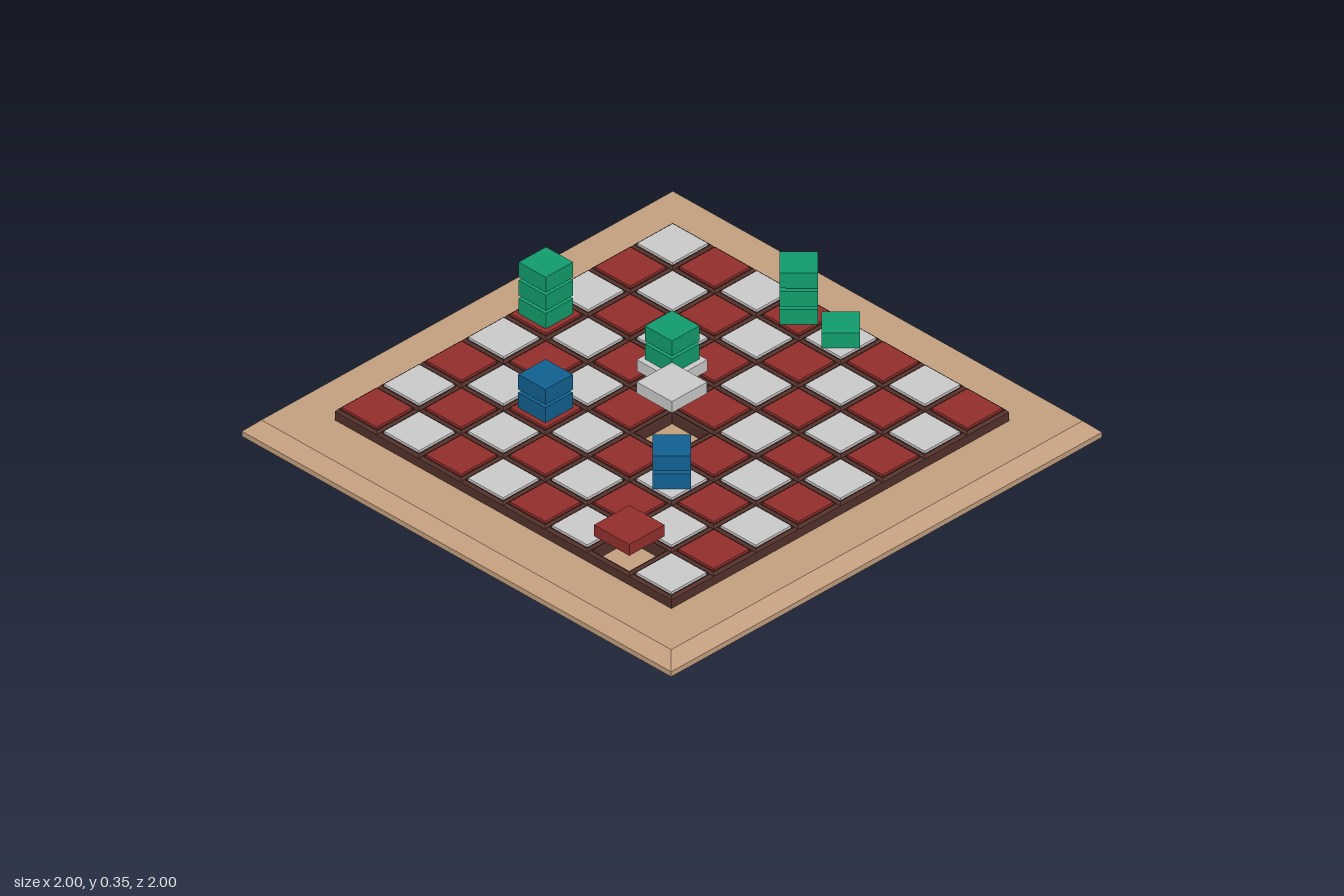
import * as THREE from 'three';

const CELL = 0.196, FLOOR = 0.065, TILE = 0.164, TILE_H = 0.045, PIECE = 0.127, PIECE_H = 0.06, PITCH = 0.072;

const paint = (color) => new THREE.MeshStandardMaterial({ color, flatShading: true });

// Sweeps a [half width, height] profile around a square
function squareSweep(profile) {
  const points = profile.map(([r, y]) => new THREE.Vector2(r * Math.SQRT2, y));
  return new THREE.LatheGeometry(points, 4).rotateY(Math.PI / 4);
}

export function createModel() {
  const model = new THREE.Group();
  const wood = paint(0xc5a180), dark = paint(0x54322b), red = paint(0x932f2c);
  const grey = paint(0xcccccc), green = paint(0x129d6d), blue = paint(0x116191);

  function add(name, geometry, material, x, y, z, turn = 0, parent = model) {
    const mesh = new THREE.Mesh(geometry, material);
    mesh.name = name;
    mesh.position.set(x, y, z);
    mesh.rotation.y = turn;
    parent.add(mesh);
    return mesh;
  }
  const at = (i) => (i - 3.5) * CELL;

  // Wooden base with a bevelled upper edge
  add('base', squareSweep([[0, 0], [1, 0], [1, 0.02], [0.955, FLOOR], [0, FLOOR]]), wood, 0, 0, 0);

  // Eight by eight cells: open bevelled rim with a loose tile inside
  const rim = squareSweep([
    [0.098, FLOOR], [0.098, 0.099], [0.09, 0.109], [0.086, 0.109], [0.084, 0.105], [0.084, FLOOR],
  ]);
  const tile = new THREE.BoxGeometry(TILE, TILE_H, TILE);
  const lifted = { '3,3': 0.19, '4,4': 0.288, '7,6': 0.188 }; // row,column: centre height
  const board = new THREE.Group();
  board.name = 'board';
  model.add(board);
  for (let row = 0; row < 8; row++) {
    for (let col = 0; col < 8; col++) {
      const y = lifted[`${row},${col}`];
      add('cellRim', rim, dark, at(col), 0, at(row), 0, board);
      add(y ? 'liftedTile' : 'tile', tile, (row + col) % 2 ? red : grey,
        at(col), y ?? 0.115 - TILE_H / 2, at(row), 0, board);
    }
  }

  // Stacks of playing blocks, some turned by 45 degrees
  const block = new THREE.BoxGeometry(PIECE, PIECE_H, PIECE);
  const stacks = [
    // row, column, count, colour, turned, bottom height
    [0, 3, 3, green, true, 0.115],
    [0, 4, 1, green, true, 0.115],
    [3, 0, 3, green, false, 0.115],
    [3, 3, 2, green, false, 0.215],
    [5, 2, 2, blue, false, 0.115],
    [5, 5, 2, blue, true, 0.115],
  ];
  for (const [row, col, count, material, turned, bottom] of stacks) {
    const stack = new THREE.Group();
    stack.name = material === green ? 'greenStack' : 'blueStack';
    model.add(stack);
    for (let i = 0; i < count; i++) {
      add('block', block, material, at(col), bottom + PIECE_H / 2 + i * PITCH, at(row),
        turned ? Math.PI / 4 : 0, stack);
    }
  }
  return model;
}
